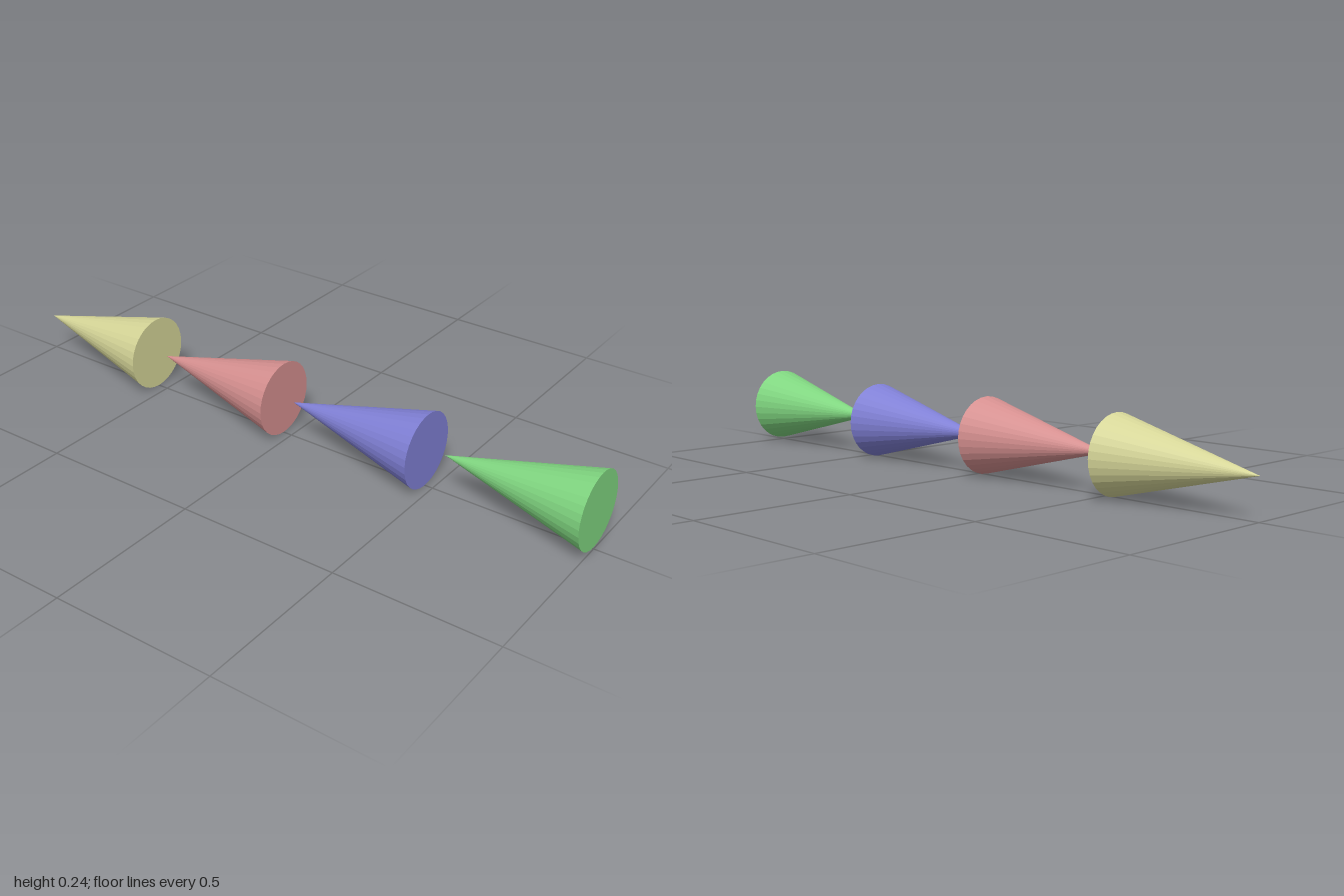
import * as THREE from 'three';

const RADIUS = 0.117;
const LENGTH = 0.466;

// Row of cones, each with its flat base to the front and its tip to the back
const CONES = [
  { name: 'greenCone', color: 0x80d680, y: 0.123, base: 1.0 },
  { name: 'blueCone', color: 0x8080d6, y: 0.117, base: 0.474 },
  { name: 'redCone', color: 0xd69090, y: 0.119, base: -0.028 },
  { name: 'yellowCone', color: 0xd6d698, y: 0.118, base: -0.534 },
];

export function createModel() {
  const model = new THREE.Group();
  model.name = 'coneRow';

  // Shared cone: base on z = 0, tip towards -z
  const geometry = new THREE.ConeGeometry(RADIUS, LENGTH, 32);
  geometry.rotateX(-Math.PI / 2);
  geometry.translate(0, 0, -LENGTH / 2);

  for (const { name, color, y, base } of CONES) {
    const material = new THREE.MeshStandardMaterial({ color, flatShading: true });
    const cone = new THREE.Mesh(geometry, material);
    cone.name = name;
    cone.position.set(0, y, base);
    model.add(cone);
  }
  return model;
}
